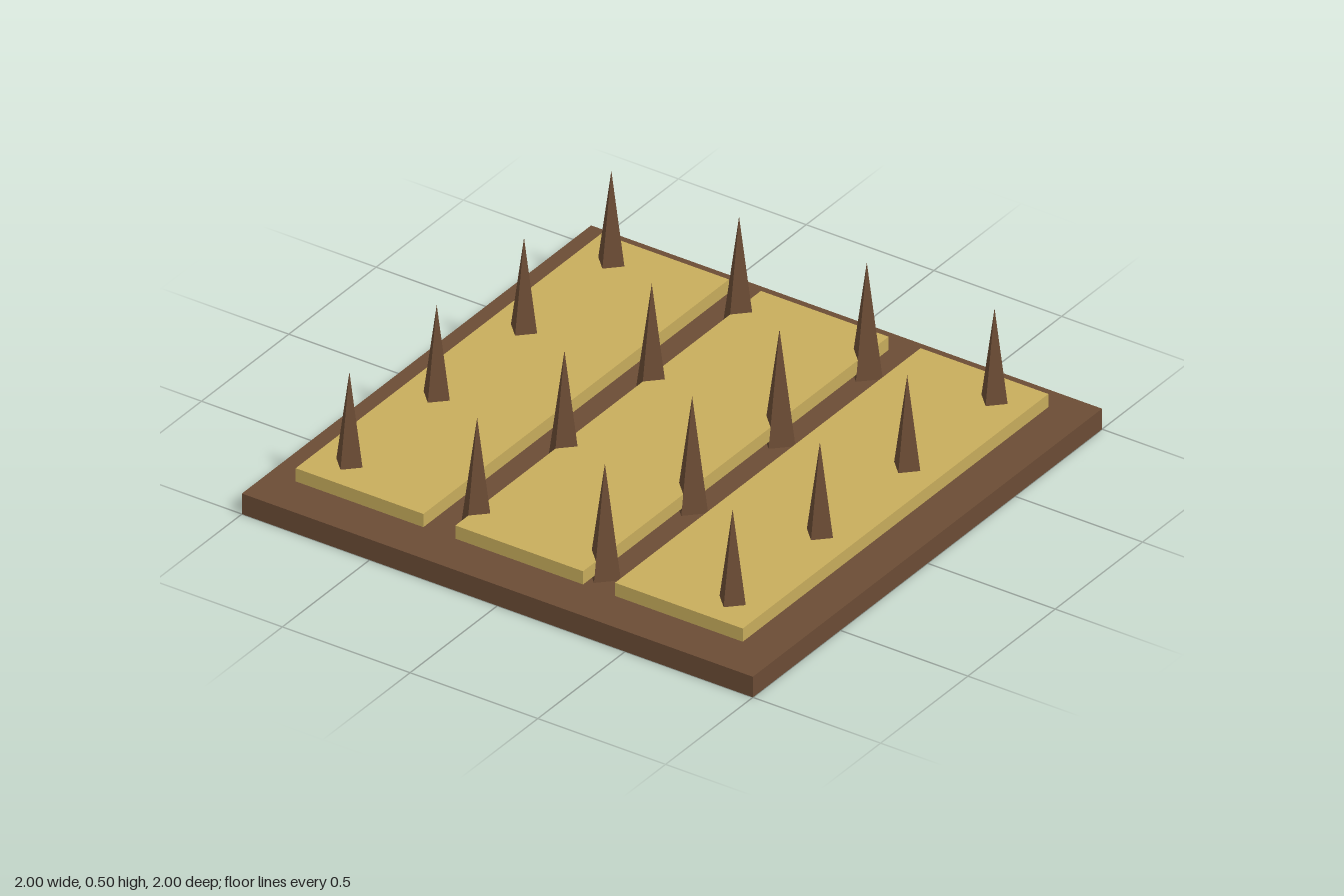
import * as THREE from 'three';

export function createModel() {
  const model = new THREE.Group();
  const darkWood = new THREE.MeshStandardMaterial({ color: 0x6b4c35, flatShading: true });
  const paleWood = new THREE.MeshStandardMaterial({ color: 0xc8ad5c, flatShading: true });

  const add = (name, geometry, material, x, y, z) => {
    const mesh = new THREE.Mesh(geometry, material);
    mesh.name = name;
    mesh.position.set(x, y, z);
    model.add(mesh);
  };

  // Square base slab
  const baseTop = 0.078;
  add('base', new THREE.BoxGeometry(2, baseTop, 2), darkWood, 0, baseTop / 2, 0);

  // Three planks held just above the base
  const plank = new THREE.BoxGeometry(0.5, 0.05, 1.75);
  for (const x of [-0.625, 0, 0.625]) add('plank', plank, paleWood, x, 0.129, 0);

  // Grid of four-sided spikes rising from the base through the planks
  const spikeHeight = 0.5 - baseTop;
  const spike = new THREE.ConeGeometry(0.0625, spikeHeight, 4);
  const rows = [-0.75, -0.25, 0.25, 0.75];
  for (const x of rows) {
    for (const z of rows) add('spike', spike, darkWood, x, baseTop + spikeHeight / 2, z);
  }

  return model;
}
